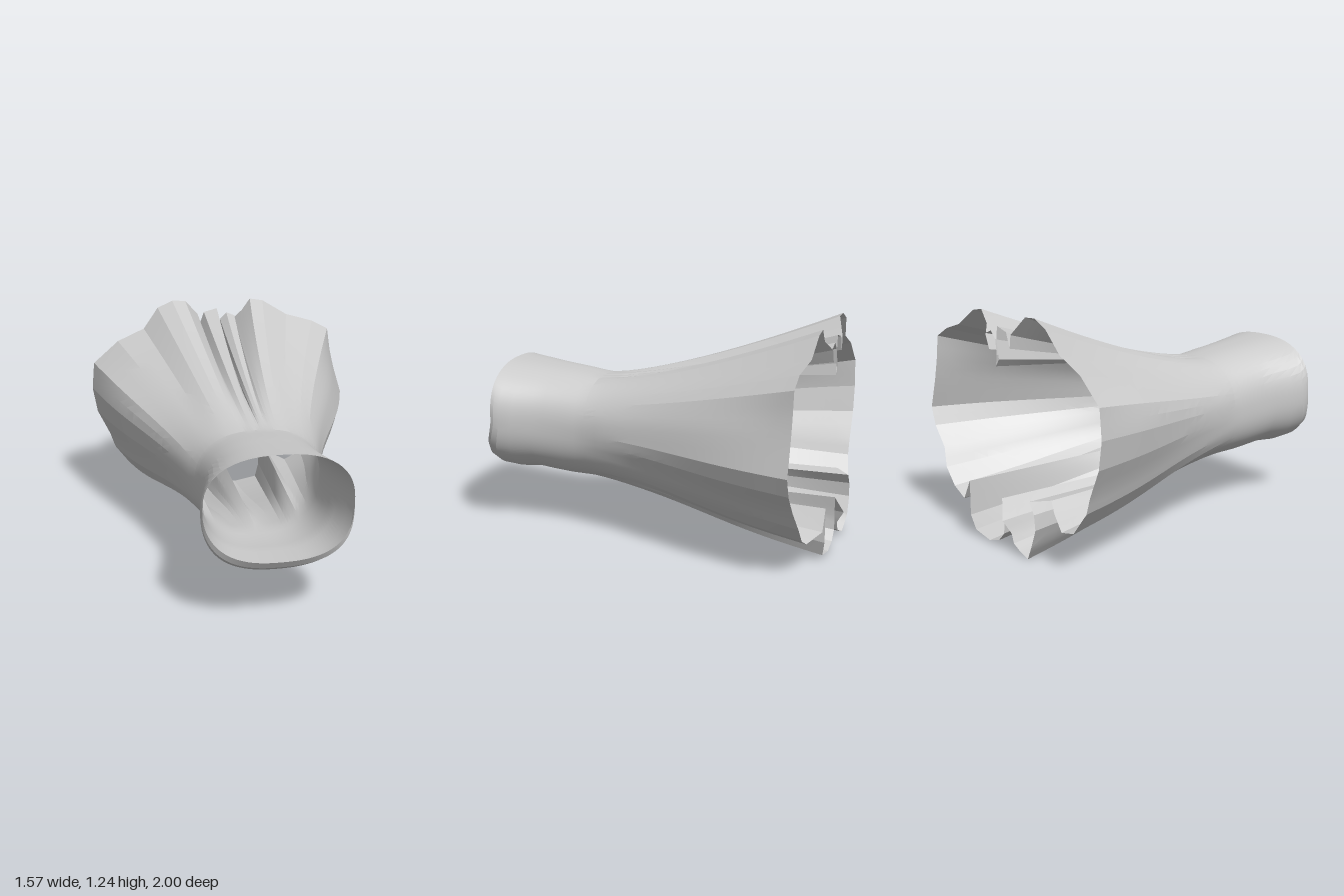
import * as THREE from 'three';
import { toCreasedNormals } from 'three/addons/utils/BufferGeometryUtils.js';

// Pleated rear hem as x, y pairs, clockwise from the top centre fold
const HEM = [
  0.02, 0.96, 0.01, 1.02, 0.02, 1.1, 0.06, 1.14, 0.11, 1.12, 0.08, 1.04, 0.11, 1.11, 0.15, 1.16,
  0.2, 1.23, 0.28, 1.215, 0.43, 1.12, 0.59, 1.075, 0.69, 1.02, 0.71, 0.88, 0.735, 0.77, 0.785, 0.6,
  0.75, 0.5, 0.66, 0.39, 0.61, 0.29, 0.53, 0.2, 0.43, 0.15, 0.33, 0.19, 0.27, 0.3,
  0.27, 0.23, 0.27, 0.11, 0.245, 0.03, 0.11, 0.005, 0.02, 0.03, -0.03, 0.08, -0.035, 0.16, -0.02, 0.27,
  -0.08, 0.17, -0.1, 0.1, -0.12, 0.05, -0.18, 0.02, -0.245, 0, -0.3, 0.08, -0.34, 0.18, -0.33, 0.26,
  -0.29, 0.32, -0.37, 0.33, -0.42, 0.28, -0.48, 0.195, -0.58, 0.215, -0.66, 0.33, -0.69, 0.42, -0.76, 0.57,
  -0.785, 0.72, -0.77, 0.88, -0.62, 1.01, -0.46, 1.08, -0.37, 1.2, -0.28, 1.24, -0.2, 1.235,
  -0.12, 1.14, -0.11, 1.07, -0.08, 1.15, 0, 1.17, 0.01, 1.1, -0.01, 1.0,
];

// Neck stations: z, half width, bottom y, top y, forward push of the lower lip
const NECK = [
  [0.92, 0.385, 0.385, 0.925, 0.08],
  [0.9, 0.39, 0.345, 0.922, 0.072],
  [0.87, 0.388, 0.312, 0.918, 0.05],
  [0.8, 0.372, 0.3, 0.91, 0.03],
  [0.7, 0.347, 0.307, 0.897, 0.01],
  [0.62, 0.336, 0.295, 0.888, 0],
  [0.52, 0.332, 0.286, 0.876, 0],
  [0.44, 0.335, 0.285, 0.863, 0],
  [0.38, 0.341, 0.285, 0.856, 0],
];
const FLARE_STEPS = 16, SUB = 2, CX = -0.015, TAU = Math.PI * 2;

// Rounded-rectangle section point at a clockwise angle from the top
function neckPoint([z, a, low, high, push], angle) {
  const b = (high - low) / 2, n = 2.45;
  const dx = Math.sin(angle), dy = Math.cos(angle);
  const r = (Math.abs(dx / a) ** n + Math.abs(dy / b) ** n) ** (-1 / n);
  const y = (low + high) / 2 + r * dy;
  const lip = 1 - THREE.MathUtils.smoothstep(y, 0.36, 0.64);
  return new THREE.Vector3(CX + r * dx, y, z + push * lip);
}

// Rear edge depth: the lower lobes and the top pleats reach furthest back
function hemDepth(x, y) {
  if (y < 0.34 && Math.abs(x) < 0.345) {
    if (x === -0.08) return -1;
    return Math.abs(x) > 0.26 ? -0.975 : -0.96;
  }
  if (y > 0.9 && Math.abs(x) < 0.13) return -0.95;
  return y > 1.1 || y < 0.3 ? -0.915 : -0.895;
}

// Neck angles the hem runs back to: radial above, by cloth length in the gathers below
function hemAngles(hem) {
  const n = hem.length;
  const arc = [0];
  hem.forEach((p, i) => {
    const q = hem[(i + 1) % n];
    arc.push(arc[i] + Math.hypot(q.x - p.x, q.y - p.y));
  });
  let angles = hem.map((p, i) => {
    let t = Math.atan2(p.x - CX, p.y - 0.6);
    if (i > n / 2 && t < 1) t += TAU;
    const radial = THREE.MathUtils.smoothstep(p.y, 0.6, 1.1);
    return THREE.MathUtils.lerp((arc[i] / arc[n]) * TAU, t, radial);
  }).sort((p, q) => p - q);
  for (let k = 0; k < 3; k++) {
    angles = angles.map((t, i) => {
      const prev = i ? angles[i - 1] : angles[n - 1] - TAU;
      const next = i < n - 1 ? angles[i + 1] : angles[0] + TAU;
      return (prev + 2 * t + next) / 4;
    });
  }
  return angles;
}

// Outward progress of the flare: sides and base level off, the top keeps rising
function flareSpread(u, endY) {
  const top = THREE.MathUtils.smoothstep(endY, 0.75, 1.1);
  return THREE.MathUtils.lerp(u - 0.035 * Math.sin(TAU * u), u ** 1.35, top);
}

function createSleeve() {
  const hem = [];
  for (let i = 0; i < HEM.length; i += 2) {
    hem.push(new THREE.Vector3(HEM[i], HEM[i + 1], hemDepth(HEM[i], HEM[i + 1])));
  }
  const angles = hemAngles(hem);

  // Split each pleat strip so the neck stays round
  const columns = [];
  hem.forEach((p, i) => {
    const j = (i + 1) % hem.length;
    const nextAngle = angles[j] + (j === 0 ? TAU : 0);
    for (let k = 0; k < SUB; k++) {
      columns.push({
        end: p.clone().lerp(hem[j], k / SUB),
        angle: THREE.MathUtils.lerp(angles[i], nextAngle, k / SUB),
      });
    }
  });

  // Neck rings, then rings flaring from the waist to the hem
  const positions = [], index = [];
  const waist = NECK[NECK.length - 1];
  for (const station of NECK) {
    for (const c of columns) positions.push(...neckPoint(station, c.angle).toArray());
  }
  for (let s = 1; s <= FLARE_STEPS; s++) {
    const u = s / FLARE_STEPS;
    for (const { end, angle } of columns) {
      const p = neckPoint(waist, angle), spread = flareSpread(u, end.y);
      positions.push(
        THREE.MathUtils.lerp(p.x, end.x, spread),
        THREE.MathUtils.lerp(p.y, end.y, spread),
        THREE.MathUtils.lerp(p.z, end.z, u),
      );
    }
  }
  const n = columns.length, rings = NECK.length + FLARE_STEPS;
  for (let r = 0; r < rings - 1; r++) {
    for (let i = 0; i < n; i++) {
      const a = r * n + i, b = r * n + ((i + 1) % n);
      index.push(a, b, a + n, b, b + n, a + n);
    }
  }
  const geometry = new THREE.BufferGeometry();
  geometry.setAttribute('position', new THREE.Float32BufferAttribute(positions, 3));
  geometry.setIndex(index);
  return toCreasedNormals(geometry, 0.2);
}

export function createModel() {
  const group = new THREE.Group();
  group.name = 'flaredSleeve';
  const material = new THREE.MeshStandardMaterial({ color: 0xcccccc, side: THREE.DoubleSide });
  const sleeve = new THREE.Mesh(createSleeve(), material);
  sleeve.name = 'pleatedSleeve';
  group.add(sleeve);
  return group;
}
